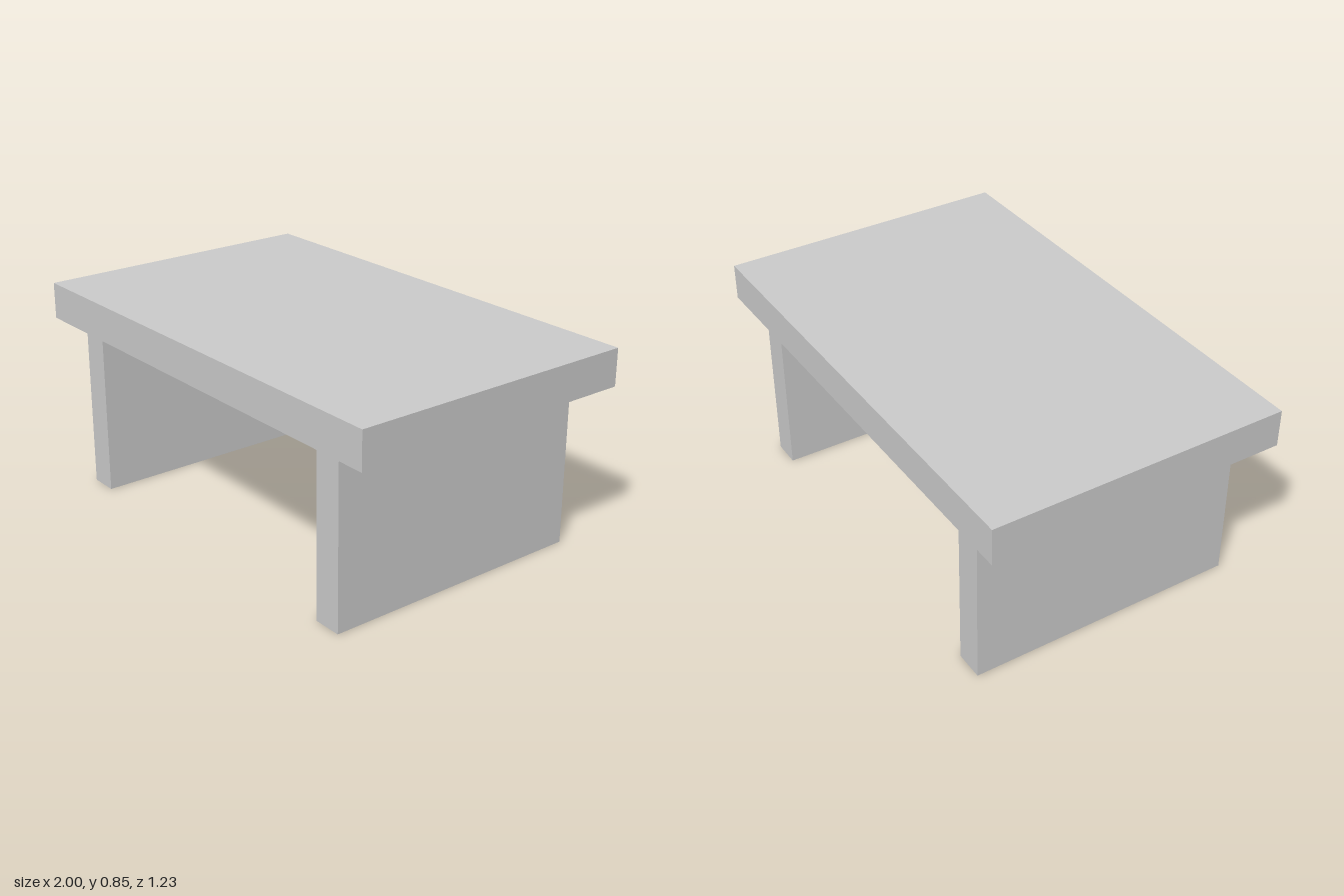
import * as THREE from 'three';

const material = new THREE.MeshStandardMaterial({ color: 0xcccccc, flatShading: true });

// Box placed by its lowest face
function box(name, [w, h, d], [x, y, z]) {
  const mesh = new THREE.Mesh(new THREE.BoxGeometry(w, h, d), material);
  mesh.name = name;
  mesh.position.set(x, y + h / 2, z);
  return mesh;
}

export function createModel() {
  const table = new THREE.Group();
  table.name = 'table';

  const legHeight = 0.7;

  // Thick rectangular slab
  table.add(box('tableTop', [2, 0.153, 1.232], [0, legHeight, 0]));

  // Two panel legs, set very slightly off centre
  for (const [name, x] of [['leftLeg', 0.769], ['rightLeg', -0.759]]) {
    table.add(box(name, [0.12, legHeight, 1.135], [x, 0, 0.005]));
  }

  return table;
}
